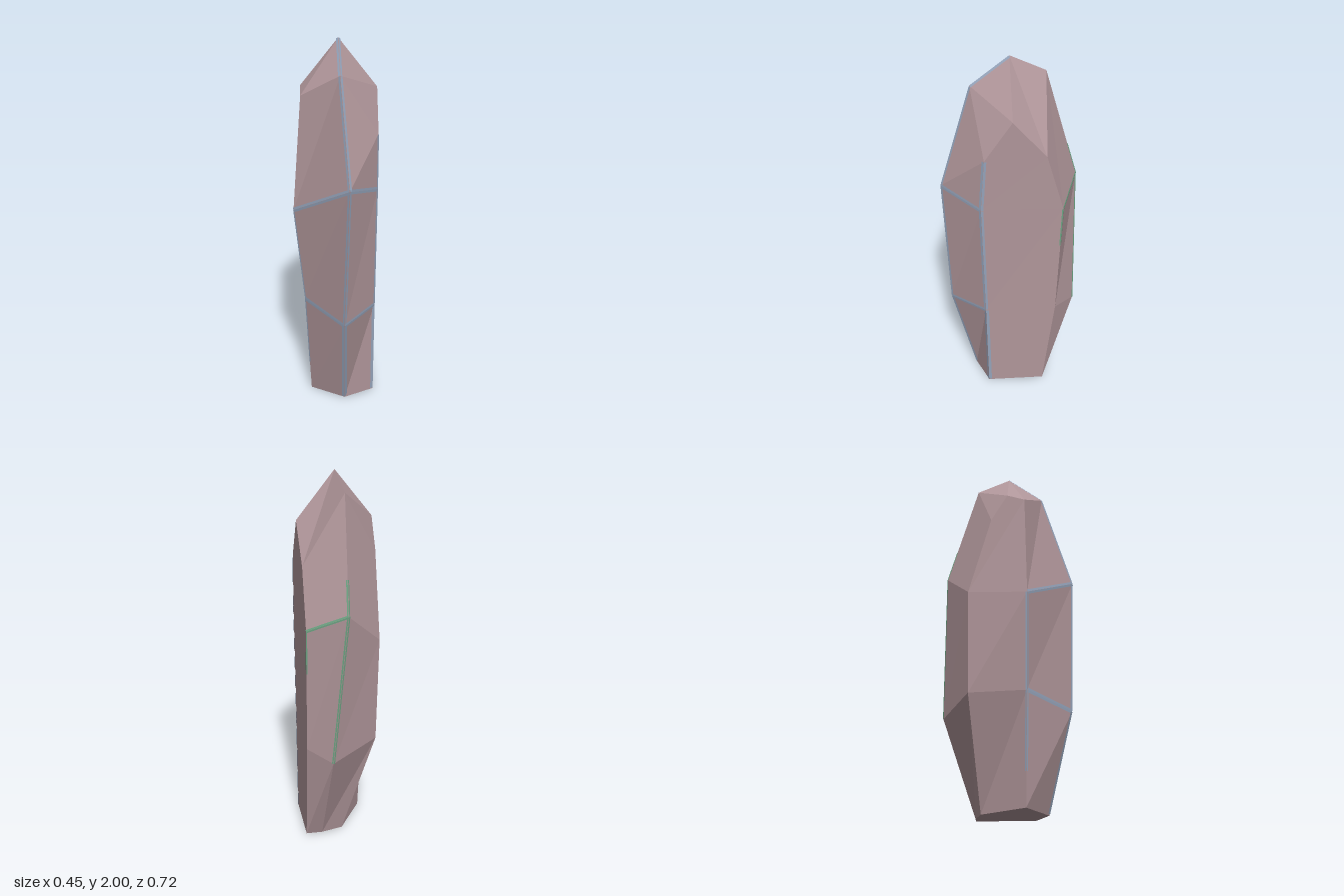
import * as THREE from 'three';

// Cross-sections from base to shoulder; columns run
// front, rightFront, rightBack, back, leftBack, leftFront
const rings = [
  [[0.05, 0, 0.2], [0.215, 0.01, 0.135], [0.22, 0.01, -0.18], [0.13, 0.005, -0.175], [0.01, 0, -0.14], [-0.135, 0, 0.09]],
  [[0.04, 0.54, 0.33], [0.215, 0.57, 0.145], [0.22, 0.57, -0.24], [0.1, 0.53, -0.355], [-0.165, 0.58, -0.2], [-0.165, 0.59, 0.1]],
  [[0.06, 1.31, 0.357], [0.217, 1.25, 0.16], [0.22, 1.24, -0.26], [0.02, 1.33, -0.347], [-0.175, 1.15, -0.21], [-0.22, 1.12, 0.107]],
  [[0.02, 1.85, 0.193], [0.218, 1.54, 0.14], [0.22, 1.55, -0.17], [0.005, 1.91, -0.18], [-0.175, 1.6, -0.09], [-0.175, 1.73, 0.096]],
];
const COLS = 6, TIP = 24, LEFT_PEAK = 25, RIGHT_PEAK = 26;
const points = [...rings.flat(), [0.02, 2, 0], [-0.175, 1.76, 0], [0.22, 1.75, 0]]
  .map(p => new THREE.Vector3(...p));

// All facets of the shard as corner triples
function buildFacets() {
  const tris = [];
  const quad = (a, b, c, d) => tris.push([a, b, c], [a, c, d]);
  for (let r = 0; r < 3; r++) {
    for (let i = 0; i < COLS; i++) {
      const j = (i + 1) % COLS, lo = r * COLS, hi = lo + COLS;
      quad(lo + i, lo + j, hi + j, hi + i);
    }
  }
  // pointed crown
  quad(18, 19, RIGHT_PEAK, TIP);
  tris.push([19, 20, RIGHT_PEAK]);
  quad(20, 21, TIP, RIGHT_PEAK);
  quad(21, 22, LEFT_PEAK, TIP);
  tris.push([22, 23, LEFT_PEAK]);
  quad(23, 18, TIP, LEFT_PEAK);
  // base
  for (let i = 1; i < COLS - 1; i++) tris.push([0, i + 1, i]);
  return tris;
}

function meshFrom(verts, material, name) {
  const geo = new THREE.BufferGeometry().setFromPoints(verts);
  geo.computeVertexNormals();
  const mesh = new THREE.Mesh(geo, material);
  mesh.name = name;
  return mesh;
}

// Thin worn strips lying on both facets beside an edge;
// each edge is [from, to, start, end, width]
function edgeStrips(edges, facets) {
  const out = [];
  for (const [ia, ib, t0 = 0.005, t1 = 0.995, width = 0.012] of edges) {
    for (const tri of facets) {
      if (!tri.includes(ia) || !tri.includes(ib)) continue;
      const [p, q, s] = tri.map(i => points[i]);
      const normal = q.clone().sub(p).cross(s.clone().sub(p)).normalize();
      // follow the facet's own corner order so the strip faces outward
      const forward = tri[(tri.indexOf(ia) + 1) % 3] === ib;
      const lift = normal.clone().multiplyScalar(0.0025);
      const a = points[ia].clone().lerp(points[ib], forward ? t0 : t1).add(lift);
      const b = points[ia].clone().lerp(points[ib], forward ? t1 : t0).add(lift);
      const inward = normal.clone().cross(b.clone().sub(a)).normalize().multiplyScalar(width);
      const c = b.clone().add(inward), d = a.clone().add(inward);
      out.push(a, b, c, a, c, d);
    }
  }
  return out;
}

export function createModel() {
  const stone = new THREE.MeshStandardMaterial({ color: 0xb0969a, flatShading: true });
  stone.name = 'rose stone';
  const blue = new THREE.MeshStandardMaterial({ color: 0x94a3ba, flatShading: true });
  blue.name = 'blue edge';
  const green = new THREE.MeshStandardMaterial({ color: 0x6ca583, flatShading: true });
  green.name = 'green edge';

  const facets = buildFacets();
  const group = new THREE.Group();
  group.name = 'stoneShard';
  group.add(meshFrom(facets.flat().map(i => points[i].clone()), stone, 'shardBody'));

  // front ridge, right front ridge, left front ridge and the two cross edges
  const blueEdges = [
    [0, 6, 0.01, 0.995, 0.016], [6, 12], [12, 18], [18, TIP],
    [1, 7, 0.01, 0.995, 0.016], [7, 13], [13, 19],
    [5, 11, 0.3, 1, 0.008], [11, 17, 0, 1, 0.008],
    [11, 6], [6, 7], [17, 12], [12, 13],
  ];
  group.add(meshFrom(edgeStrips(blueEdges, facets), blue, 'frontWornEdges'));

  // back ridge and the edge beside it
  const greenEdges = [
    [9, 15, 0, 1, 0.008], [15, 21, 0, 0.3, 0.008],
    [14, 15, 0, 1, 0.008], [8, 14, 0.65, 1, 0.006],
  ];
  group.add(meshFrom(edgeStrips(greenEdges, facets), green, 'backWornEdges'));
  return group;
}
